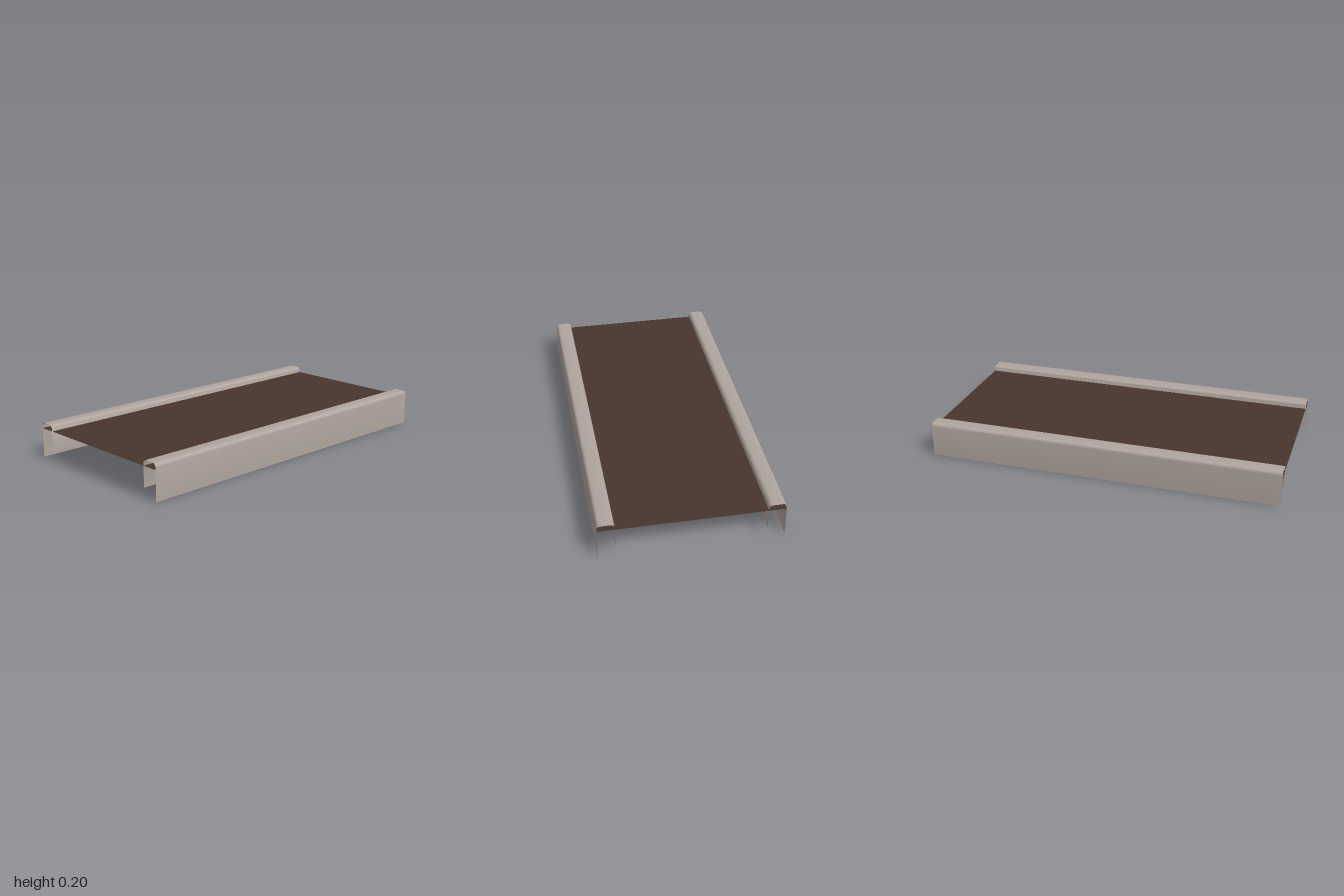
import * as THREE from 'three';
import { toCreasedNormals } from 'three/addons/utils/BufferGeometryUtils.js';

const HALF_LENGTH = 1;

// Sweeps an open [x, y] profile straight along z into a thin folded sheet.
function foldedSheet(profile) {
  const positions = [];
  for (let i = 0; i < profile.length - 1; i++) {
    const [ax, ay] = profile[i];
    const [bx, by] = profile[i + 1];
    const L = HALF_LENGTH;
    positions.push(ax, ay, L, ax, ay, -L, bx, by, -L);
    positions.push(ax, ay, L, bx, by, -L, bx, by, L);
  }
  const geometry = new THREE.BufferGeometry();
  geometry.setAttribute('position', new THREE.Float32BufferAttribute(positions, 3));
  return toCreasedNormals(geometry, 0.6);
}

// Quarter-round corner, angles in quarter turns.
function corner(cx, cy, r, start) {
  const points = [];
  for (let i = 0; i <= 4; i++) {
    const a = (start + i / 4) * Math.PI / 2;
    points.push([cx + r * Math.cos(a), cy + r * Math.sin(a)]);
  }
  return points;
}

export function createModel() {
  const group = new THREE.Group();
  const railPaint = new THREE.MeshStandardMaterial({ color: 0xb0a49d, side: THREE.DoubleSide });
  railPaint.name = 'pale taupe';
  const deckPaint = new THREE.MeshStandardMaterial({ color: 0x47352d, side: THREE.DoubleSide });
  deckPaint.name = 'dark brown';

  // Rail section: tall outer wall, rounded cap, shorter inner wall
  const outer = 0.49, inner = 0.397, top = 0.2, r = 0.02;
  const section = [
    [outer, 0],
    ...corner(outer - r, top - r, r, 0),
    ...corner(inner + r, top - r, r, 1),
    [inner, 0.052],
  ];
  const mirrored = section.map(([x, y]) => [-x, y]).reverse();

  for (const [name, profile] of [['leftRail', section], ['rightRail', mirrored]]) {
    const rail = new THREE.Mesh(foldedSheet(profile), railPaint);
    rail.name = name;
    group.add(rail);
  }

  // Deck sheet running between the outer walls, under the caps
  const deck = new THREE.Mesh(foldedSheet([[outer, 0.167], [-outer, 0.167]]), deckPaint);
  deck.name = 'deck';
  group.add(deck);

  return group;
}
